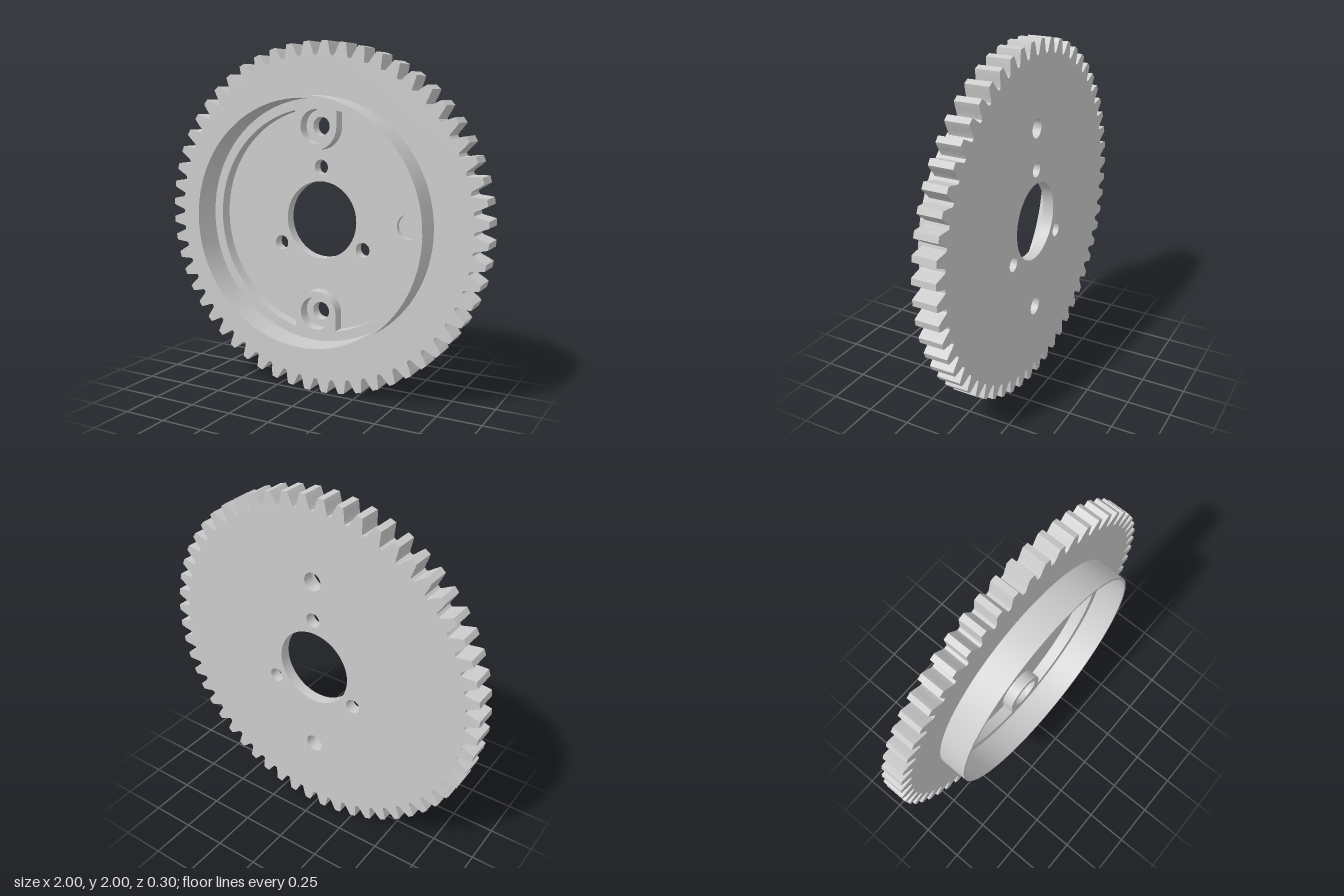
import * as THREE from 'three';
import { toCreasedNormals } from 'three/addons/utils/BufferGeometryUtils.js';

const TEETH = 56, BACK = -0.15, RECESS = -0.115, FLOOR = -0.085, FACE = -0.015, FRONT = 0.15;
const POCKET_R = 0.635, BOSS_R = 0.13, BOSS_Y = 0.533;

// Half profile of one tooth: radius, half angle
const FLANK = [[0.922, 0.047], [0.935, 0.0395], [0.966, 0.03], [0.99, 0.0215], [1, 0.0175]];

function gearShape() {
  const pts = [];
  const profile = [
    ...FLANK.map(([r, a]) => [r, -a]),
    ...FLANK.slice().reverse(),
  ];
  for (let i = 0; i < TEETH; i++) {
    const mid = ((i + 0.5) / TEETH) * Math.PI * 2;
    for (const [r, a] of profile) {
      pts.push(new THREE.Vector2(r * Math.cos(mid + a), r * Math.sin(mid + a)));
    }
  }
  return new THREE.Shape(pts);
}

function circle(x, y, r, Type = THREE.Path) {
  return new Type().absarc(x, y, r, 0, Math.PI * 2, false);
}

// Round pocket interrupted by two U-shaped screw bosses
function pocketPath() {
  const t = Math.acos(BOSS_R / POCKET_R);
  const p = new THREE.Path();
  p.absarc(0, 0, POCKET_R, t, -t, true);
  p.absarc(0, -BOSS_Y, BOSS_R, 0, Math.PI, false);
  p.absarc(0, 0, POCKET_R, t - Math.PI, Math.PI - t, true);
  p.absarc(0, BOSS_Y, BOSS_R, Math.PI, Math.PI * 2, false);
  p.closePath();
  return p;
}

export function createModel() {
  const group = new THREE.Group();
  const material = new THREE.MeshStandardMaterial({ color: 0xcccccc });

  const addLayer = (name, shape, holes, z0, z1) => {
    shape.holes.push(...holes);
    const geo = new THREE.ExtrudeGeometry(shape, {
      depth: z1 - z0, bevelEnabled: false, curveSegments: 48,
    });
    const mesh = new THREE.Mesh(toCreasedNormals(geo, 0.4), material);
    mesh.name = name;
    mesh.position.set(0, 1, z0);
    group.add(mesh);
  };

  // Bore, three mounting holes and two screw holes, all going through
  const throughHoles = () => [
    circle(0, 0, 0.222),
    ...[90, 210, 330].map((d) => {
      const a = THREE.MathUtils.degToRad(d);
      return circle(0.303 * Math.cos(a), 0.303 * Math.sin(a), 0.042);
    }),
    circle(0, BOSS_Y, 0.052),
    circle(0, -BOSS_Y, 0.052),
  ];

  addLayer('backPlate', gearShape(), throughHoles(), BACK, RECESS);

  // Pocket floor with a blind hole on one side
  addLayer('floorPlate', gearShape(), [...throughHoles(), circle(0.535, 0, 0.068)], RECESS, FLOOR);

  // Toothed rim with the pocket and the counterbored bosses
  addLayer('rimAndBosses', gearShape(),
    [pocketPath(), circle(0, BOSS_Y, 0.095), circle(0, -BOSS_Y, 0.095)], FLOOR, FACE);

  // Thin collar standing on the front face
  addLayer('collar', circle(0, 0, 0.705, THREE.Shape), [circle(0, 0, 0.69)], FACE, FRONT);

  return group;
}
